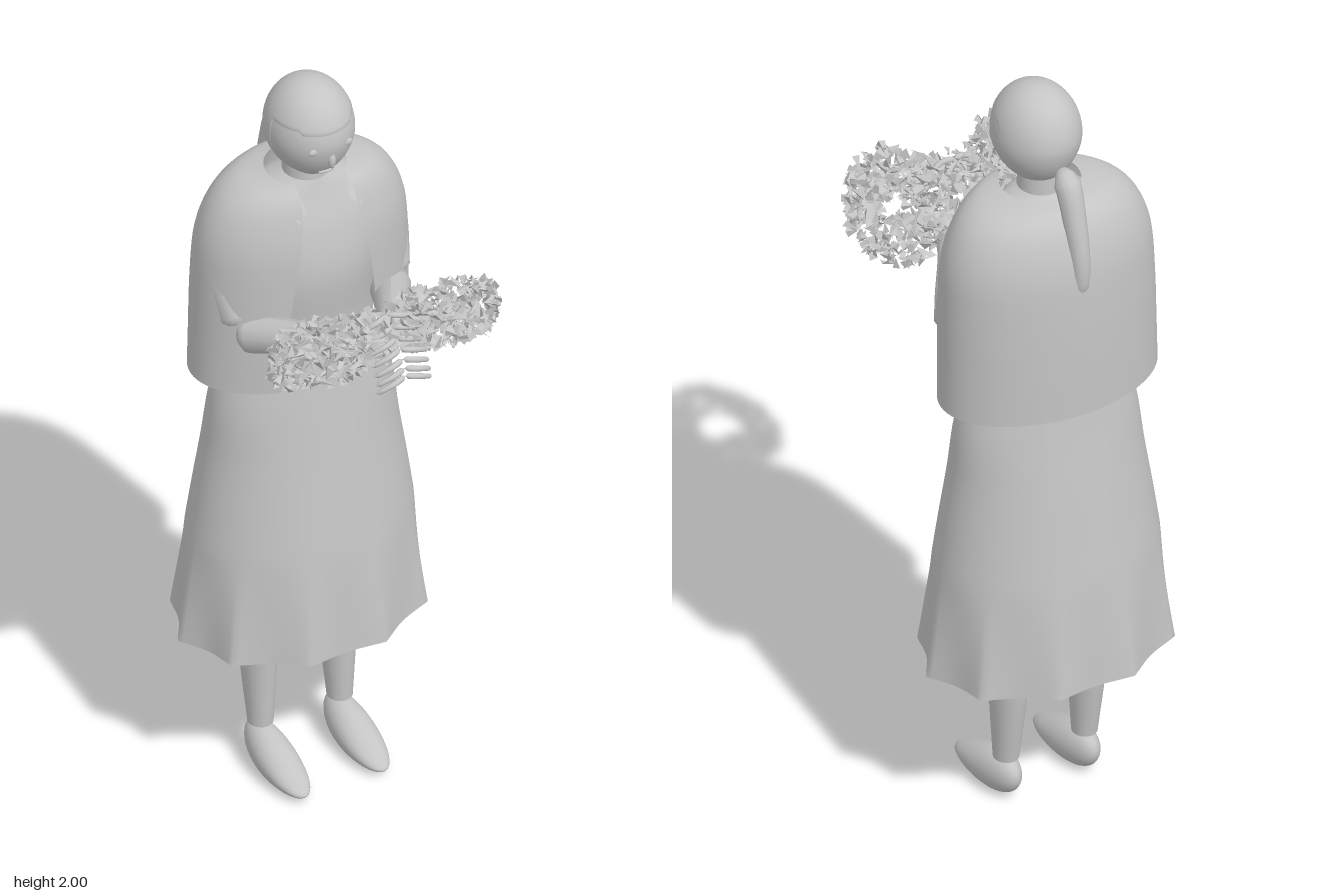
import * as THREE from 'three';

const clay = new THREE.MeshStandardMaterial({ color: 0xc4c4c4, side: THREE.DoubleSide });
clay.name = 'clay grey';

// Small seeded generator for the leaves
let seed = 7;
const rnd = () => (seed = (seed * 16807) % 2147483647) / 2147483647;
const spread = (r) => (rnd() * 2 - 1) * r;

function add(parent, name, geo, x = 0, y = 0, z = 0) {
  const m = new THREE.Mesh(geo, clay);
  m.name = name;
  m.position.set(x, y, z);
  parent.add(m);
  return m;
}

// Smoothly resample rows of numbers
function smooth(rows, n) {
  const f = new THREE.CubicInterpolant(rows.map((_, i) => i), rows.flat(), rows[0].length);
  return Array.from({ length: n + 1 }, (_, i) =>
    Array.from(f.evaluate(Math.min(i / n * (rows.length - 1), rows.length - 1))));
}

// Join rings of points, listed from top to bottom, into one surface
function loft(rings, closed) {
  const n = rings[0].length, idx = [];
  for (let j = 0; j < rings.length - 1; j++)
    for (let i = 0; i < (closed ? n : n - 1); i++) {
      const k = (i + 1) % n, a = j * n + i, b = j * n + k;
      idx.push(a, a + n, b, b, a + n, b + n);
    }
  const g = new THREE.BufferGeometry();
  g.setAttribute('position', new THREE.Float32BufferAttribute(rings.flat(2), 3));
  g.setIndex(idx);
  g.computeVertexNormals();
  return g;
}

// Elliptical body from rows of [y, rx, centre z, rz]
const ellipses = (rows, n, seg = 40) => loft(smooth(rows, n).map(([y, rx, zc, rz]) =>
  Array.from({ length: seg }, (_, i) => {
    const a = i / seg * Math.PI * 2;
    return [rx * Math.sin(a), y, zc + rz * Math.cos(a)];
  })), true);

// Sphere whose unit vertices are moved by a rule
function blob(rule, w = 40, h = 28) {
  const g = new THREE.SphereGeometry(1, w, h), p = g.attributes.position;
  for (let i = 0; i < p.count; i++) p.setXYZ(i, ...rule(p.getX(i), p.getY(i), p.getZ(i)));
  g.computeVertexNormals();
  return g;
}

// Tube whose radius runs from r0 to r1
function taper(points, r0, r1, seg = 24) {
  const c = new THREE.CatmullRomCurve3(points.map((p) => new THREE.Vector3(...p)));
  const g = new THREE.TubeGeometry(c, seg, 1, 14), p = g.attributes.position;
  const v = new THREE.Vector3();
  for (let i = 0; i < p.count; i++) {
    const t = Math.floor(i / 15) / seg, o = c.getPointAt(t);
    const cap = Math.sqrt(Math.max(0.001, Math.min(1, t * 8, (1 - t) * 8)));
    v.fromBufferAttribute(p, i).sub(o).multiplyScalar((r0 + (r1 - r0) * t) * cap).add(o);
    p.setXYZ(i, v.x, v.y, v.z);
  }
  g.computeVertexNormals();
  return g;
}

const egg = (s, x, y, z) => {
  const low = Math.max(0, -y);
  return [x * 0.107 * s * (1 - 0.22 * low * low), 1.87 + y * 0.13 * s,
    -0.105 + z * 0.12 * s * (1 - 0.1 * low)];
};

function buildHead() {
  const head = new THREE.Group();
  head.name = 'head';
  add(head, 'face', blob((x, y, z) => egg(1, x, y, z)));
  // Thin hair shell, tucked inside the head over the face area
  add(head, 'hair', blob((x, y, z) => {
    const face = z > 0.08 && y < 0.27 + 0.08 * Math.abs(x);
    return egg(face ? 0.96 : 1.012, x, y, z);
  }, 72, 48));
  add(head, 'neck', new THREE.CylinderGeometry(0.052, 0.06, 0.16, 24), 0, 1.72, -0.125);
  add(head, 'ponytail', taper([[0, 1.82, -0.215], [0, 1.81, -0.25], [0, 1.72, -0.29],
    [0, 1.6, -0.318], [0, 1.5, -0.313]], 0.034, 0.02));
  const nose = add(head, 'nose', new THREE.SphereGeometry(1, 12, 10), 0, 1.83, 0.006);
  nose.scale.set(0.01, 0.022, 0.01);
  const mouth = add(head, 'mouth', new THREE.SphereGeometry(1, 12, 8), 0, 1.785, -0.021);
  mouth.scale.set(0.022, 0.005, 0.008);
  for (const s of [-1, 1]) {
    const eye = add(head, 'eye', new THREE.SphereGeometry(1, 12, 10), s * 0.046, 1.866, 0.001);
    eye.scale.set(0.014, 0.01, 0.006);
  }
  return head;
}

function buildClothes() {
  const clothes = new THREE.Group();
  clothes.name = 'clothes';
  add(clothes, 'blouse', ellipses([[1.73, 0.055, -0.125, 0.06], [1.69, 0.13, -0.14, 0.09],
    [1.6, 0.2, -0.15, 0.135], [1.48, 0.2, -0.15, 0.155], [1.33, 0.185, -0.15, 0.14],
    [1.22, 0.185, -0.15, 0.137]], 24));

  // Skirt with ten flutes that open towards the hem
  const skirt = smooth([[1.24, 0.185, -0.15, 0.139], [1.1, 0.232, -0.15, 0.158],
    [0.95, 0.252, -0.152, 0.18], [0.8, 0.275, -0.153, 0.202], [0.6, 0.303, -0.154, 0.232],
    [0.42, 0.33, -0.155, 0.258]], 36);
  add(clothes, 'skirt', loft(skirt.map(([y, rx, zc, rz]) =>
    Array.from({ length: 120 }, (_, i) => {
      const a = i / 120 * Math.PI * 2 + Math.PI / 2;
      const t = Math.max(0, Math.min(1, (0.7 - y) / 0.28));
      const r = 1 - 0.085 * t * Math.abs(Math.sin(5 * (a - Math.PI / 2)));
      return [rx * r * Math.sin(a), y, zc + rz * r * Math.cos(a)];
    })), true));

  // Open-fronted cape, rows of [y, rx, centre z, rz, half opening]
  const cape = smooth([[1.74, 0.1, -0.125, 0.097, 0.068], [1.72, 0.18, -0.14, 0.13, 0.07],
    [1.67, 0.235, -0.148, 0.157, 0.075], [1.58, 0.27, -0.152, 0.178, 0.09],
    [1.45, 0.28, -0.155, 0.184, 0.11], [1.3, 0.283, -0.158, 0.184, 0.125],
    [1.185, 0.285, -0.16, 0.182, 0.135]], 30);
  add(clothes, 'cape', loft(cape.map(([y, rx, zc, rz, gap]) =>
    Array.from({ length: 65 }, (_, i) => {
      const a0 = Math.asin(gap / rx), a = a0 + (Math.PI * 2 - 2 * a0) * i / 64;
      return [rx * Math.sin(a), y, zc + rz * Math.cos(a)];
    })), false));

  // Notched collar points
  for (const s of [-1, 1]) {
    const g = new THREE.BufferGeometry();
    g.setAttribute('position', new THREE.Float32BufferAttribute([
      s * 0.07, 1.745, -0.055, s * 0.058, 1.69, -0.008, s * 0.098, 1.688, -0.012,
      s * 0.085, 1.665, 0.002], 3));
    g.setIndex(s > 0 ? [0, 1, 2, 1, 3, 2] : [0, 2, 1, 1, 2, 3]);
    g.computeVertexNormals();
    add(clothes, 'lapel', g);
  }
  return clothes;
}

function buildLimbs(s) {
  const limbs = new THREE.Group();
  limbs.name = s > 0 ? 'leftLimbs' : 'rightLimbs';
  add(limbs, 'leg', ellipses([[0.75, 0.065, -0.16, 0.075], [0.45, 0.05, -0.158, 0.061],
    [0.3, 0.045, -0.16, 0.052], [0.11, 0.031, -0.15, 0.034]], 14, 20), s * 0.108);
  // Shoe slopes down from the ankle to the toe
  add(limbs, 'shoe', blob((x, y, z) => {
    const h = 0.084 - 0.04 * z;
    return [x * 0.05, Math.max(0, (y + 0.85) / 1.85) * h + (1 - z) * 0.004 * (y + 1), z * 0.135 - 0.067];
  }), s * 0.108);
  add(limbs, 'upperArm', taper([[s * 0.21, 1.62, -0.14], [s * 0.225, 1.5, -0.12],
    [s * 0.205, 1.36, -0.07]], 0.045, 0.045));
  add(limbs, 'forearm', taper([[s * 0.205, 1.345, -0.08], [s * 0.165, 1.37, 0],
    [s * 0.11, 1.405, 0.1], [s * 0.08, 1.42, 0.17]], 0.054, 0.03));
  const hand = add(limbs, 'hand', new THREE.SphereGeometry(1, 18, 14), s * 0.075, 1.43, 0.2);
  hand.scale.set(0.035, 0.03, 0.055);
  return limbs;
}

// Leafy garland: two loops joined by a thick middle
function buildGarland() {
  const garland = new THREE.Group();
  garland.name = 'garland';
  const pos = [], v = new THREE.Vector3(), q = new THREE.Quaternion();
  const leaf = (x, y, z) => {
    const l = 0.014 + rnd() * 0.007, w = 0.011 + rnd() * 0.006;
    q.set(spread(1), spread(1), spread(1), spread(1)).normalize();
    const c = [[0, l, 0], [-w, -l * 0.7, 0.005], [0, -l, -0.007], [w, -l * 0.7, 0.005]]
      .map((p) => v.fromArray(p).applyQuaternion(q).add(new THREE.Vector3(x, y, z)).toArray());
    pos.push(...c[0], ...c[1], ...c[2], ...c[0], ...c[2], ...c[3]);
  };
  for (const s of [-1, 1])
    for (let i = 0; i < 480; i++) {
      const a = rnd() * Math.PI * 2, b = rnd() * Math.PI * 2, r = 0.6 + 0.4 * rnd();
      const R = 0.096 + 0.034 * r * Math.cos(b);
      leaf(s * 0.168 + R * Math.cos(a), 1.485 + 0.4 * R * Math.sin(a) + 0.068 * r * Math.sin(b),
        0.26 + 0.93 * R * Math.sin(a));
    }
  for (let i = 0; i < 260; i++) {
    const a = rnd() * Math.PI * 2, r = 0.5 + 0.5 * rnd(), z = r * Math.sin(a) * 0.1;
    leaf(spread(0.12), 1.47 + r * Math.cos(a) * 0.07 + z * 0.4, 0.245 + z);
  }
  const g = new THREE.BufferGeometry();
  g.setAttribute('position', new THREE.Float32BufferAttribute(pos, 3));
  g.computeVertexNormals();
  add(garland, 'leaves', g);
  // Bound stems drooping from the middle
  for (let i = 0; i < 7; i++) {
    const y = 1.55 - i * 0.021, z = 0.28 + 0.085 * Math.sin(i / 6 * Math.PI / 2);
    for (const s of [-1, 1])
      add(garland, 'stem', taper([[0, y, z], [s * 0.035, y - 0.008, z + 0.008],
        [s * 0.075, y - 0.03, z - 0.005]], 0.008, 0.006, 10));
  }
  return garland;
}

export function createModel() {
  seed = 7;
  const model = new THREE.Group();
  model.name = 'womanWithGarland';
  model.add(buildHead(), buildClothes(), buildLimbs(1), buildLimbs(-1), buildGarland());
  return model;
}
